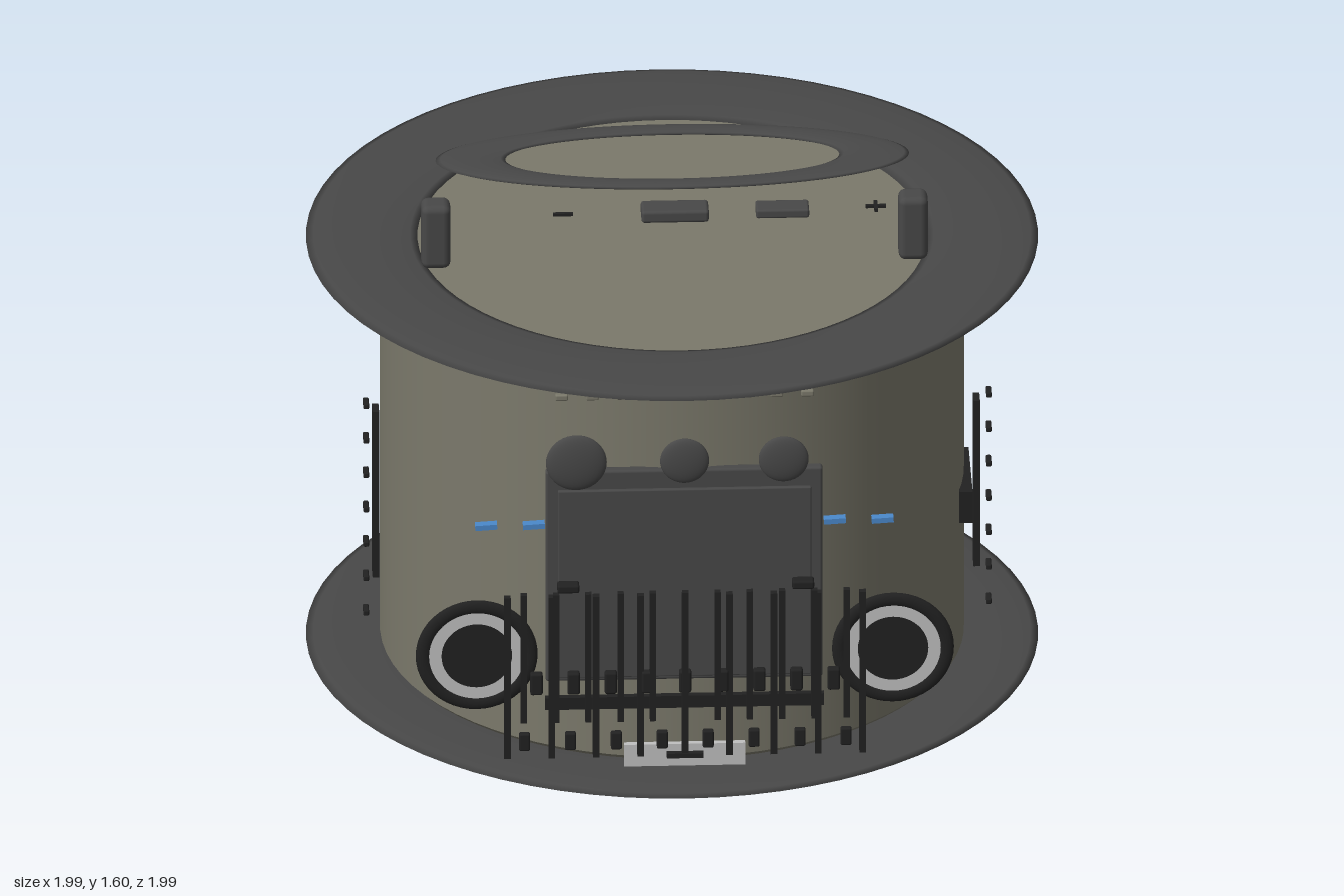
import * as THREE from 'three';
import { RoundedBoxGeometry } from 'three/addons/geometries/RoundedBoxGeometry.js';

function material(name, color) {
  const m = new THREE.MeshStandardMaterial({ color });
  m.name = name;
  return m;
}

export function createModel() {
  const model = new THREE.Group();
  const olive = material('olive shell', 0x7b796b);
  const grey = material('dark grey', 0x484848);
  const black = material('black', 0x212121);
  const silver = material('silver', 0xc0c0c0);
  const blue = material('blue', 0x4a87c9);

  function add(name, geometry, mat, x, y, z) {
    const mesh = new THREE.Mesh(geometry, mat);
    mesh.name = name;
    mesh.position.set(x, y, z);
    model.add(mesh);
    return mesh;
  }
  const box = (name, mat, w, h, d, x, y, z) =>
    add(name, new THREE.BoxGeometry(w, h, d), mat, x, y, z);
  const rounded = (name, mat, w, h, d, x, y, z) =>
    add(name, new RoundedBoxGeometry(w, h, d, 2, Math.min(w, h, d) * 0.25), mat, x, y, z);
  // Evenly spaced x or y positions, from first to last
  const spread = (first, last, count, fn) => {
    for (let i = 0; i < count; i++) fn(first + (last - first) * i / (count - 1));
  };
  // Horizontal ring with an elliptical section
  function flatRing(name, R, r, thickness, depthScale, y, z) {
    const g = new THREE.TorusGeometry(R, r, 12, 72);
    g.rotateX(Math.PI / 2);
    g.scale(1, thickness / (2 * r), depthScale);
    return add(name, g, grey, 0, y, z);
  }

  // Drum body with small bevels, plus its two wide rims
  const profile = [[0, 0.14], [0.78, 0.14], [0.78, 0.14], [0.795, 0.155], [0.795, 0.155],
    [0.795, 1.32], [0.795, 1.32], [0.78, 1.335], [0.78, 1.335], [0, 1.335]];
  add('body', new THREE.LatheGeometry(profile.map(p => new THREE.Vector2(...p)), 72), olive, 0, 0, 0);
  flatRing('bottomRim', 0.845, 0.152, 0.024, 1, 0.131, 0);
  flatRing('topRim', 0.845, 0.152, 0.024, 1, 1.345, 0);

  // Oval handle, its posts and the controls below it
  flatRing('handle', 0.55, 0.095, 0.016, 0.297, 1.595, 0.02);
  for (const s of [-1, 1]) {
    rounded('handlePost', grey, 0.08, 0.19, 0.08, s * 0.65, 1.445, 0.155);
    rounded('foot', grey, 0.166, 0.04, 0.125, s * 0.44, 0.024, 0.298);
  }
  rounded('wideButton', grey, 0.184, 0.036, 0.075, 0, 1.512, 0.185);
  rounded('smallButton', grey, 0.145, 0.026, 0.065, 0.293, 1.512, 0.183);
  box('minusMark', black, 0.055, 0.008, 0.01, -0.308, 1.55, 0.265);
  box('plusMark', black, 0.055, 0.008, 0.01, 0.545, 1.55, 0.25);
  box('plusMarkUpright', black, 0.01, 0.008, 0.055, 0.545, 1.55, 0.25);
  box('rimLightBar', blue, 0.545, 0.02, 0.018, 0, 1.346, 0.822);

  // Front panel, inset and three knobs
  rounded('frontPanel', grey, 0.755, 0.64, 0.03, 0, 0.72, 0.795);
  rounded('panelInset', grey, 0.69, 0.57, 0.014, 0, 0.715, 0.843);
  for (const [x, r] of [[-0.295, 0.083], [0, 0.067], [0.27, 0.068]]) {
    const knob = add('knob', new THREE.SphereGeometry(r, 32, 20), grey, x, 1.083, 0.84);
    knob.scale.z = 0.25;
  }
  spread(-0.335, 0.335, 9, x => rounded('topStud', olive, 0.035, 0.018, 0.018, x, 1.282, 0.835));

  // Grille bars in two layers, crossbar and clips
  spread(-0.44, 0.44, 11, x => box('innerGrilleBar', black, 0.017, 0.39, 0.018, x, 0.51, 0.882));
  spread(-0.484, 0.484, 9, x => box('outerGrilleBar', black, 0.018, 0.49, 0.02, x, 0.445, 0.866));
  box('grilleCrossbar', black, 0.76, 0.036, 0.018, 0, 0.345, 0.827);
  spread(-0.405, 0.405, 9, x => rounded('upperClip', black, 0.034, 0.065, 0.025, x, 0.428, 0.872));
  spread(-0.438, 0.438, 8, x => rounded('lowerClip', black, 0.03, 0.052, 0.02, x, 0.255, 0.88));
  box('frontPlate', silver, 0.33, 0.066, 0.016, 0, 0.192, 0.845);
  box('plateBar', black, 0.1, 0.014, 0.016, 0, 0.202, 0.872);

  for (const s of [-1, 1]) {
    rounded('panelTab', black, 0.06, 0.024, 0.036, s * 0.32, 0.738, 0.908);

    // Headlight: disc, pale ring and dark outer ring
    const disc = new THREE.CylinderGeometry(0.15, 0.15, 0.012, 48).rotateX(Math.PI / 2);
    add('headlightDisc', disc, black, s * 0.567, 0.51, 0.854);
    add('headlightRing', new THREE.RingGeometry(0.096, 0.13, 48), silver, s * 0.567, 0.51, 0.862);
    const rim = add('headlightRim', new THREE.TorusGeometry(0.146, 0.02, 12, 48), black, s * 0.567, 0.51, 0.855);
    rim.scale.z = 0.55;

    // Blue side markers
    for (const x of [0.41, 0.54]) {
      const marker = box('blueMarker', blue, 0.06, 0.015, 0.025, s * x, 0.885, 0.82);
      marker.rotation.z = 0.06;
    }

    // Side strip and row of studs
    box('sideStrip', black, 0.018, 0.505, 0.05, s * 0.818, 0.717, 0.265);
    spread(0.402, 1.032, 7, y => rounded('sideStud', black, 0.016, 0.016, 0.045, s * 0.848, y, 0.36));
  }

  // Latch on the left side only
  box('sideLatch', black, 0.036, 0.095, 0.27, 0.793, 0.593, 0.054);

  return model;
}
